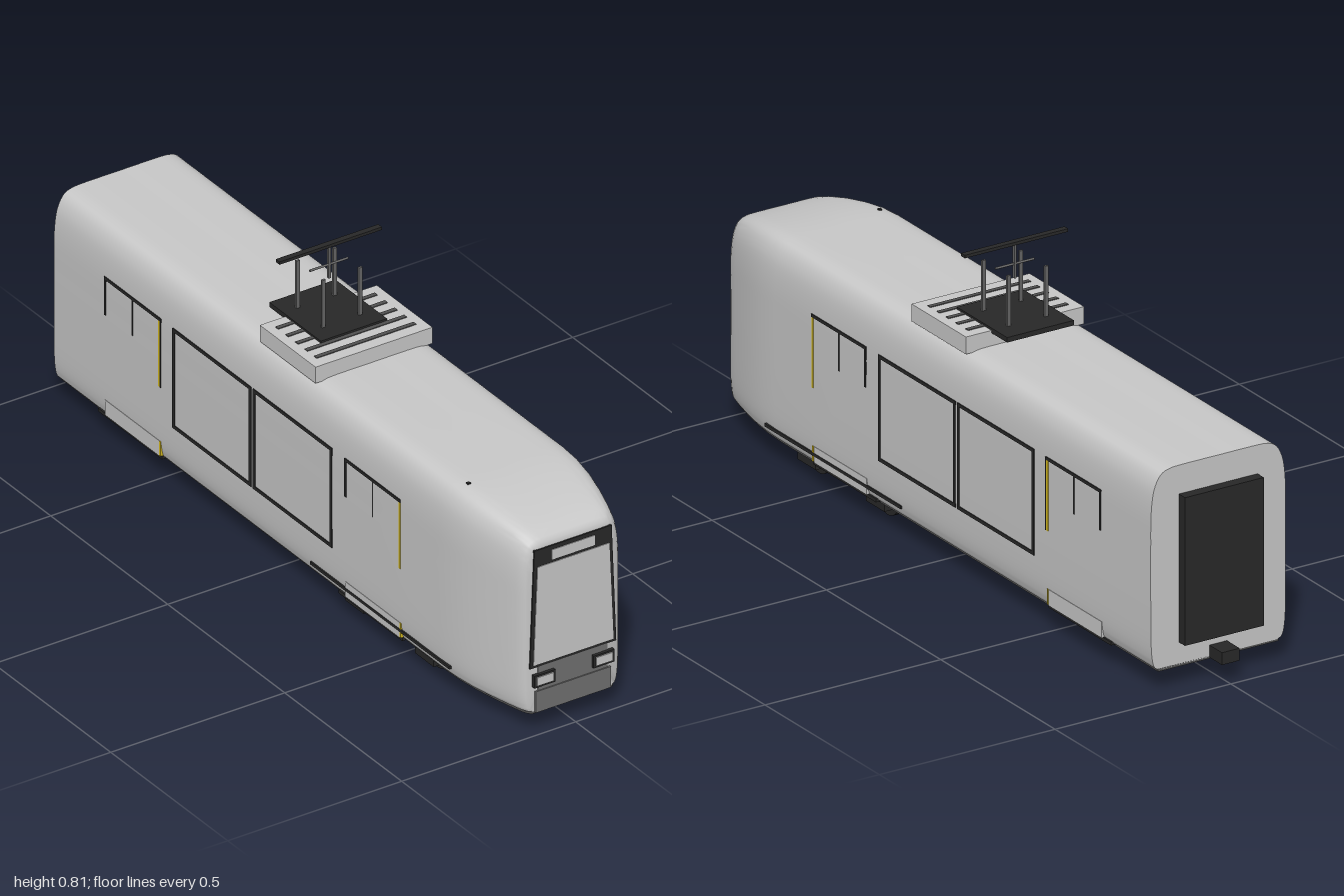
import * as THREE from 'three';
import { toCreasedNormals } from 'three/addons/utils/BufferGeometryUtils.js';

const mat = (name, color) => {
  const m = new THREE.MeshStandardMaterial({ color });
  m.name = name;
  return m;
};

export function createModel() {
  const root = new THREE.Group();
  root.name = 'tram';
  const body = mat('body grey', 0xc8c8c8);
  const dark = mat('dark trim', 0x282828);
  const under = mat('underframe grey', 0x505050);
  const panel = mat('bumper grey', 0x707070);
  const steel = mat('steel', 0x666666);
  const yellow = mat('handrail yellow', 0xd8bc20);

  const add = (name, geo, m, x = 0, y = 0, z = 0) => {
    const mesh = new THREE.Mesh(geo, m);
    mesh.name = name;
    mesh.position.set(x, y, z);
    root.add(mesh);
  };
  // box given by its limits on each axis
  const box = (name, m, x0, x1, y0, y1, z0, z1) =>
    add(name, new THREE.BoxGeometry(Math.abs(x1 - x0), y1 - y0, Math.abs(z1 - z0)), m,
      (x0 + x1) / 2, (y0 + y1) / 2, (z0 + z1) / 2);
  // cylinder lying across the car
  const crossRod = (name, m, r, len, x, y, z, sides = 10) => {
    const g = new THREE.CylinderGeometry(r, r, len, sides);
    g.rotateZ(Math.PI / 2);
    add(name, g, m, x, y, z);
  };

  // Body shell: one rounded section lofted along z; [z, half width, roof height]
  const base = 0.057, roof = 0.575;
  const stations = [
    [-0.945, 0.192, 0.575], [0.45, 0.192, 0.575], [0.70, 0.192, 0.575], [0.76, 0.189, 0.573],
    [0.82, 0.181, 0.566], [0.88, 0.168, 0.556], [0.93, 0.155, 0.544], [0.96, 0.146, 0.534],
    [0.975, 0.139, 0.525], [0.982, 0.133, 0.516], [0.985, 0.127, 0.507],
  ];
  const half = new THREE.SplineCurve([
    [0.87, base], [0.94, 0.064], [0.975, 0.085], [0.995, 0.13], [1, 0.24], [1, 0.38], [0.997, 0.455],
    [0.972, 0.508], [0.925, 0.54], [0.85, 0.562], [0.74, 0.572], [0.55, 0.575], [0, roof],
  ].map(p => new THREE.Vector2(...p))).getPoints(40);
  const ring = [...half, ...half.slice(0, -1).reverse().map(p => new THREE.Vector2(-p.x, p.y))];
  const n = ring.length, pos = [], idx = [];
  for (const [z, w, t] of stations)
    for (const p of ring) pos.push(p.x * w, base + (p.y - base) * (t - base) / (roof - base), z);
  for (let i = 0; i < stations.length - 1; i++)
    for (let j = 0; j < n; j++) {
      const a = i * n + j, b = i * n + (j + 1) % n;
      idx.push(a, b, a + n, b, b + n, a + n);
    }
  const last = (stations.length - 1) * n, c = pos.length / 3;
  pos.push(0, 0.3, stations[0][0], 0, 0.3, 0.985);
  for (let j = 0; j < n; j++) {
    const k = (j + 1) % n;
    idx.push(c, k, j, c + 1, last + j, last + k);
  }
  const shell = new THREE.BufferGeometry();
  shell.setAttribute('position', new THREE.Float32BufferAttribute(pos, 3));
  shell.setIndex(idx);
  add('bodyShell', toCreasedNormals(shell, 0.6), body);

  // Floor following the plan of the body
  const edge = stations.map(([z, w]) => [w * 0.89, z]);
  const plan = new THREE.Shape([...edge, ...edge.slice().reverse().map(([x, z]) => [-x, z])]
    .map(([x, z]) => new THREE.Vector2(x, -z)));
  const floor = new THREE.ExtrudeGeometry(plan, { depth: 0.008, bevelEnabled: false });
  floor.rotateX(-Math.PI / 2);
  add('floor', floor, under, 0, 0.052, 0);

  // Front: windscreen surround, glass, destination panel, bumper
  const trapezoid = (name, m, w0, w1, y0, y1, z, d) => {
    const s = new THREE.Shape([[-w0, y0], [w0, y0], [w1, y1], [-w1, y1]].map(p => new THREE.Vector2(...p)));
    add(name, new THREE.ExtrudeGeometry(s, { depth: d, bevelEnabled: false }), m, 0, 0, z);
  };
  trapezoid('windscreenFrame', dark, 0.124, 0.111, 0.18, 0.503, 0.981, 0.008);
  trapezoid('windscreen', body, 0.115, 0.103, 0.188, 0.457, 0.987, 0.004);
  box('destinationPanel', body, -0.062, 0.062, 0.465, 0.492, 0.986, 0.991);
  box('nosePanel', panel, -0.1, 0.1, 0.113, 0.18, 0.98, 0.987);
  box('bumper', panel, -0.108, 0.108, 0.055, 0.113, 0.975, 0.99);

  // Rear: gangway panel and coupler
  box('gangway', dark, -0.112, 0.112, 0.115, 0.5, -0.972, -0.944);
  box('coupler', dark, -0.025, 0.025, 0.055, 0.087, -1, -0.94);

  // Roof box with grille slats, and a small roof fitting
  box('roofBox', body, -0.168, 0.168, 0.57, 0.615, -0.1, 0.138);
  for (const z of [-0.065, -0.022, 0.02, 0.06, 0.1])
    box('roofSlat', under, -0.143, 0.143, 0.61, 0.617, z - 0.006, z + 0.006);
  box('roofFitting', dark, -0.134, -0.126, 0.56, 0.576, 0.731, 0.739);

  // Pantograph
  box('pantographBase', dark, -0.095, 0.095, 0.608, 0.621, -0.168, 0.052);
  for (const x of [-0.053, 0.053])
    for (const z of [0, -0.11]) box('pantographPost', steel, x - 0.005, x + 0.005, 0.618, 0.752, z - 0.003, z + 0.003);
  crossRod('pantographCrossbar', steel, 0.003, 0.11, 0, 0.75, -0.055);
  box('pantographMast', steel, -0.003, 0.003, 0.713, 0.803, -0.059, -0.051);
  box('contactBar', dark, -0.147, 0.147, 0.801, 0.809, -0.063, -0.047);

  for (const s of [-1, 1]) {
    const x0 = s * 0.182, x1 = s * 0.194;
    // Headlamps
    box('headlampFrame', dark, s * 0.055, s * 0.115, 0.127, 0.161, 0.975, 0.995);
    box('headlamp', body, s * 0.061, s * 0.109, 0.133, 0.156, 0.99, 0.998);

    // Side window frames
    for (const [z0, z1] of [[-0.092, 0.245], [-0.436, -0.1]]) {
      const t = 0.009;
      box('windowFrame', dark, x0, x1, 0.175, 0.175 + t, z0, z1);
      box('windowFrame', dark, x0, x1, 0.442, 0.442 + t, z0, z1);
      box('windowFrame', dark, x0, x1, 0.175, 0.45, z0, z0 + t);
      box('windowFrame', dark, x0, x1, 0.175, 0.45, z1 - t, z1);
    }

    // Doors: top rail, posts, yellow handrail and step
    for (const z of [0.537, -0.49]) {
      const e = z - 0.238;
      box('doorRail', dark, x0, x1, 0.443, 0.451, e, z);
      box('doorPost', dark, x0, x1, 0.345, 0.45, e, e + 0.007);
      box('doorSeam', dark, x0, s * 0.193, 0.345, 0.45, z - 0.121, z - 0.117);
      box('doorHandrail', yellow, x0, s * 0.1935, 0.26, 0.443, z - 0.007, z);
      box('doorHandrailFoot', yellow, s * 0.175, s * 0.1915, 0.068, 0.108, z - 0.006, z);
      box('doorStep', body, s * 0.165, s * 0.191, 0.066, 0.108, e, z - 0.007);
      box('doorSill', dark, s * 0.16, s * 0.187, 0.058, 0.067, e - 0.035, z);
    }
    // Dark cover strip on the leading side of the rear handrail
    box('handrailCover', dark, x0, s * 0.194, 0.26, 0.45, -0.49, -0.486);
    box('sideSkirtStrip', dark, s * 0.15, s * 0.192, 0.083, 0.091, 0.15, 0.745);

    // Bogie side: wheels and axle boxes
    for (const z of [0.6, 0.3]) {
      crossRod('wheel', dark, 0.05, 0.021, s * 0.12, 0.05, z, 28);
      box('axleBox', dark, s * 0.143, s * 0.166, 0.03, 0.058, z - 0.04, z + 0.04);
    }
    box('bogieSide', dark, s * 0.135, s * 0.15, 0.04, 0.056, 0.25, 0.66);
  }

  // Bogie centre
  for (const z of [0.6, 0.3]) crossRod('axle', dark, 0.011, 0.3, 0, 0.046, z);
  box('bogieFrame', dark, -0.1, 0.1, 0.04, 0.055, 0.37, 0.53);
  return root;
}
